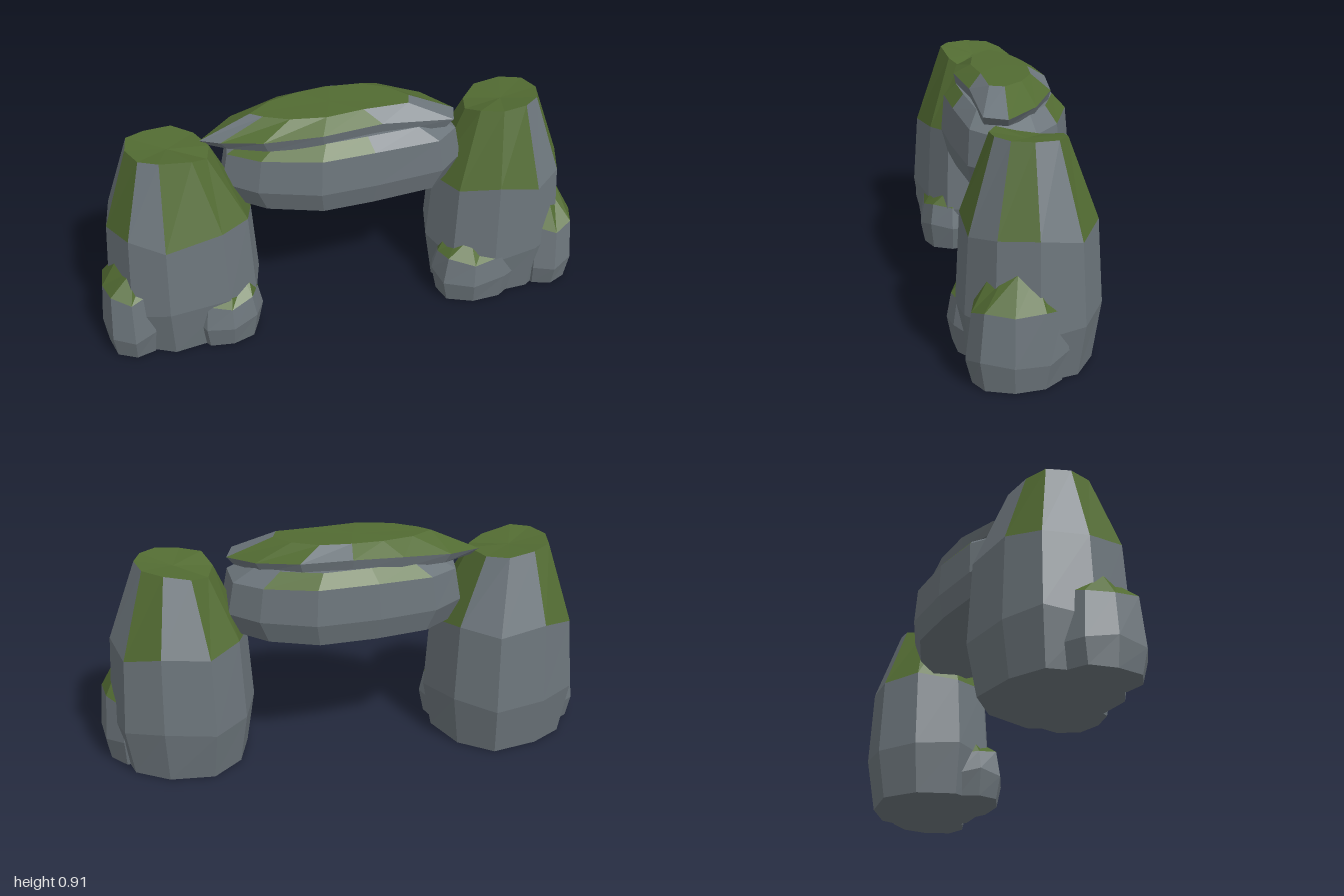
import * as THREE from 'three';

const rock = new THREE.MeshStandardMaterial({ color: 0x6c757b, flatShading: true });
rock.name = 'grey rock';
const moss = new THREE.MeshStandardMaterial({ color: 0x526b32, flatShading: true });
moss.name = 'green moss';

// Closed stone from rings of [x, y, z]; isMoss(band, side) picks the colour, the top cap is the last band.
function stone(name, rings, isMoss, capLift = 0) {
  const n = rings[0].length, faces = [[], []];
  const add = (m, ...pts) => pts.forEach((p) => faces[m].push(...p));
  const middle = (ring) => [0, 1, 2].map((k) => ring.reduce((s, p) => s + p[k], 0) / n);
  const low = middle(rings[0]), high = middle(rings[rings.length - 1]);
  high[1] += capLift;
  for (let i = 0; i < n; i++) {
    const j = (i + 1) % n;
    for (let b = 0; b < rings.length - 1; b++) {
      const m = isMoss(b, i) ? 1 : 0, r = rings[b], s = rings[b + 1];
      add(m, r[i], s[i], r[j], r[j], s[i], s[j]);
    }
    const top = rings[rings.length - 1];
    add(isMoss(rings.length - 1, i) ? 1 : 0, high, top[j], top[i]);
    add(0, low, rings[0][i], rings[0][j]);
  }
  const geo = new THREE.BufferGeometry();
  geo.setAttribute('position', new THREE.Float32BufferAttribute(faces[0].concat(faces[1]), 3));
  geo.addGroup(0, faces[0].length / 3, 0);
  geo.addGroup(faces[0].length / 3, faces[1].length / 3, 1);
  geo.computeVertexNormals();
  const mesh = new THREE.Mesh(geo, [rock, moss]);
  mesh.name = name;
  return mesh;
}

// Scale an [x, z] outline about (cx, cz), move it by (dx, dz) and lift it to height(i, x).
function ring(outline, cx, cz, scale, height, dx = 0, dz = 0) {
  return outline.map(([x, z], i) => {
    const px = cx + (x - cx) * scale + dx;
    return [px, typeof height === 'function' ? height(i, px) : height, cz + (z - cz) * scale + dz];
  });
}

// Upright stone with a tapering, mossy upper part; greySides stay bare.
function pillar(name, outline, cx, topX, tops, greySides) {
  const mid = (i) => 0.52 + 0.02 * Math.sin(i * 2.3);
  return stone(name, [
    ring(outline, cx, 0, 0.88, 0),
    ring(outline, cx, 0, 1, (i) => 0.2 + 0.02 * Math.sin(i * 1.7)),
    ring(outline, cx, 0, 0.93, mid),
    ring(outline, cx, 0, 0.52, (i) => tops[i], topX - cx),
  ], (b, i) => b === 3 || (b === 2 && !greySides.includes(i)), -0.01);
}

// Small foot boulder leaning against a pillar, with a ragged mossy cap.
function boulder(name, cx, cz, rx, rz, mossY, topY, dx, dz, phase) {
  const n = 9, outline = [];
  for (let i = 0; i < n; i++) {
    const a = (i + phase) / n * Math.PI * 2, k = 0.98 + 0.05 * Math.sin(i * 2.7 + phase);
    outline.push([cx + Math.cos(a) * rx * k, cz + Math.sin(a) * rz * k]);
  }
  return stone(name, [
    ring(outline, cx, cz, 0.87, 0),
    ring(outline, cx, cz, 1, (i) => 0.1 + 0.015 * Math.sin(i * 2)),
    ring(outline, cx, cz, 0.88, (i) => mossY + 0.015 * Math.sin(i * 2.4)),
    ring(outline, cx, cz, 0.5, (i) => topY - (i % 2) * 0.035, dx, dz),
  ], (b) => b >= 2);
}

export function createModel() {
  const model = new THREE.Group();
  model.name = 'stone arch';

  // Pillars
  model.add(pillar('leftPillar', [
    [0.55, -0.27], [0.75, -0.26], [0.9, -0.17], [0.95, 0], [0.9, 0.15],
    [0.78, 0.24], [0.6, 0.25], [0.44, 0.18], [0.37, 0.03], [0.42, -0.15],
  ], 0.66, 0.665, [0.81, 0.83, 0.84, 0.845, 0.845, 0.845, 0.835, 0.83, 0.8, 0.79], [0, 2, 4]));
  model.add(pillar('rightPillar', [
    [-0.57, -0.29], [-0.42, -0.18], [-0.34, 0.02], [-0.38, 0.16], [-0.5, 0.23],
    [-0.74, 0.27], [-0.88, 0.2], [-0.95, 0.03], [-0.92, -0.15], [-0.78, -0.24],
  ], -0.65, -0.67, [0.81, 0.8, 0.8, 0.79, 0.81, 0.835, 0.835, 0.835, 0.83, 0.82], [0, 5, 7, 9]));

  // Foot boulders
  model.add(boulder('leftOuterBoulder', 0.868, 0.07, 0.13, 0.19, 0.28, 0.41, -0.02, -0.01, 0.2));
  model.add(boulder('leftFrontBoulder', 0.555, 0.135, 0.2, 0.145, 0.2, 0.28, -0.02, -0.02, 0.6));
  model.add(boulder('rightOuterBoulder', -0.87, 0.08, 0.13, 0.18, 0.28, 0.38, 0.02, -0.01, 0.4));
  model.add(boulder('rightFrontBoulder', -0.51, 0.13, 0.16, 0.145, 0.19, 0.29, 0.02, -0.02, 0.1));

  // Lintel
  const beam = [
    [-0.45, -0.1], [-0.33, -0.19], [-0.1, -0.235], [0.15, -0.255], [0.36, -0.18], [0.47, -0.08],
    [0.48, 0.08], [0.38, 0.17], [0.1, 0.2], [-0.12, 0.21], [-0.35, 0.13], [-0.47, 0.03],
  ];
  model.add(stone('lintel', [
    ring(beam, 0.01, -0.02, 0.9, 0.54),
    ring(beam, 0.01, -0.02, 1, 0.63),
    ring(beam, 0.01, -0.02, 0.95, (i, x) => 0.775 - 0.08 * x * x),
    ring(beam, 0.01, -0.02, 0.75, (i, x) => 0.825 - 0.08 * x * x),
  ], (b, i) => b === 2 && [1, 2, 3, 8, 9, 10].includes(i)));

  // Capping slab with a bare rim
  const slab = [
    [-0.54, -0.02], [-0.4, -0.12], [-0.2, -0.175], [0, -0.19], [0.2, -0.175], [0.36, -0.09],
    [0.46, 0.03], [0.43, 0.12], [0.14, 0.13], [-0.1, 0.16], [-0.32, 0.12], [-0.47, 0.04],
  ];
  model.add(stone('cappingSlab', [
    ring(slab, -0.02, -0.01, 0.94, (i, x) => 0.81 - 0.1 * x * x),
    ring(slab, -0.02, -0.01, 1, (i, x) => 0.865 - 0.2 * x * x),
    ring(slab, -0.02, -0.01, 0.62, (i, x) => 0.905 - 0.06 * x * x),
  ], (b, i) => b === 2 || (b === 1 && ![3, 6, 7, 11].includes(i)), 0.003));

  return model;
}
